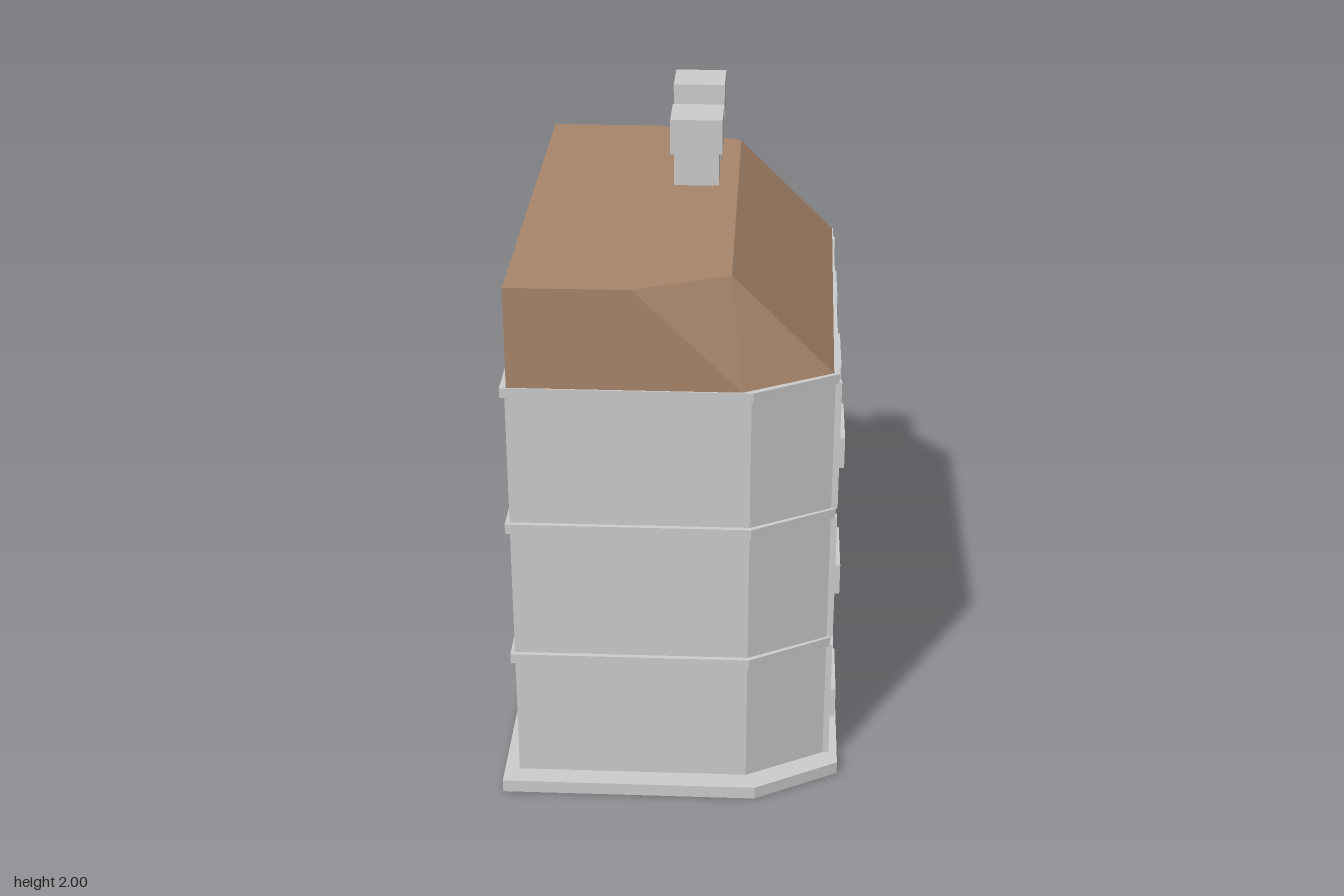
import * as THREE from 'three';
import { ConvexGeometry } from 'three/addons/geometries/ConvexGeometry.js';

export function createModel() {
  const house = new THREE.Group();
  house.name = 'townHouse';
  const stone = new THREE.MeshStandardMaterial({ color: 0xcccccc });
  stone.name = 'stone';
  const brown = new THREE.MeshStandardMaterial({ color: 0xa8856a });
  brown.name = 'brown';

  const add = (name, geometry, material = stone, parent = house) => {
    const mesh = new THREE.Mesh(geometry, material);
    mesh.name = name;
    parent.add(mesh);
    return mesh;
  };
  // Box given by its minimum and maximum corners
  const box = (name, [x0, x1], [y0, y1], [z0, z1], material, parent) => {
    const g = new THREE.BoxGeometry(x1 - x0, y1 - y0, z1 - z0);
    g.translate((x0 + x1) / 2, (y0 + y1) / 2, (z0 + z1) / 2);
    return add(name, g, material, parent);
  };
  const poly = (pts, Type = THREE.Shape) => new Type(pts.map(([x, y]) => new THREE.Vector2(x, y)));
  const rect = (s0, s1, y0, y1, Type) => poly([[s0, y0], [s1, y0], [s1, y1], [s0, y1]], Type);
  // Plan outline raised from y0 to y1
  const rise = (name, pts, y0, y1) => {
    const g = new THREE.ExtrudeGeometry(poly(pts), { depth: y1 - y0, bevelEnabled: false });
    g.rotateX(-Math.PI / 2).translate(0, y0, 0);
    return add(name, g);
  };
  // Upright plate facing +x, from x0 to x1, with optional holes
  const plate = (name, shape, holes, x0, x1, z = 0, parent = house) => {
    shape.holes = holes;
    const g = new THREE.ExtrudeGeometry(shape, { depth: x1 - x0, bevelEnabled: false });
    g.rotateY(Math.PI / 2).translate(x0, 0, z);
    return add(name, g, stone, parent);
  };
  // Plan with two cut corners on the +x side
  const plan = (back, front, cutX, end, cutZ) => [
    [back, -end], [cutX, -end], [front, -cutZ], [front, cutZ], [cutX, end], [back, end],
  ];

  // Plinth and storey ledges, which also close the rooms as floors
  rise('plinth', plan(-0.537, 0.535, 0.27, 0.805, 0.655), 0, 0.042);
  for (const y of [0.455, 0.92, 1.378])
    rise('ledge', plan(-0.503, 0.5, 0.245, 0.752, 0.605), y, y + 0.032);

  // Back and end walls as one hollow band
  rise('outerWalls', [
    [0.49, -0.6], [0.49, -0.585], [0.46, -0.585], [0.23, -0.71], [-0.46, -0.71],
    [-0.46, 0.71], [0.23, 0.71], [0.46, 0.585], [0.49, 0.585], [0.49, 0.6],
    [0.24, 0.737], [-0.49, 0.737], [-0.49, -0.737], [0.24, -0.737],
  ], 0.042, 1.38);

  // Facade with four open windows on the upper floors
  const floors = [
    { bottom: 0.06, head: 0.36, top: 0.41, z: 0.293 },
    { bottom: 0.53, head: 0.815, top: 0.865, z: 0.28 },
    { bottom: 0.99, head: 1.287, top: 1.335, z: 0.28 },
  ];
  const openings = [];
  for (const f of floors.slice(1))
    for (const s of [-1, 1])
      openings.push(rect(s * f.z - 0.09, s * f.z + 0.09, f.bottom + 0.02, f.head, THREE.Path));
  plate('facade', rect(-0.585, 0.585, 0.042, 1.38), openings, 0.46, 0.49);

  // Window surrounds and balconies
  for (const f of floors) {
    for (const s of [-1, 1]) {
      const win = new THREE.Group();
      win.name = 'window';
      house.add(win);
      const z = s * f.z;
      plate('windowFrame', rect(-0.103, 0.103, f.bottom, f.head),
        [rect(-0.09, 0.09, f.bottom + 0.02, f.head - 0.005, THREE.Path)], 0.49, 0.508, z, win);
      box('windowHeader', [0.49, 0.51], [f.head - 0.005, f.top], [z - 0.115, z + 0.115], stone, win);
      const slots = [];
      for (let i = -2; i <= 2; i++)
        slots.push(rect(i * 0.046 - 0.012, i * 0.046 + 0.012, f.bottom + 0.022, f.bottom + 0.08, THREE.Path));
      plate('balcony', rect(-0.126, 0.126, f.bottom, f.bottom + 0.105), slots, 0.505, 0.531, z, win);
      for (const e of [-1, 1])
        box('balconyEnd', [0.49, 0.506], [f.bottom, f.bottom + 0.105],
          [z + e * 0.114 - 0.012, z + e * 0.114 + 0.012], stone, win);
    }
  }

  // Corner pilasters, broken by the ledges
  for (const [y0, y1] of [[0.042, 0.455], [0.487, 0.92], [0.952, 1.378]])
    for (const s of [-1, 1])
      box('cornerPilaster', [0.488, 0.508], [y0, y1], [s * 0.588 - 0.013, s * 0.588 + 0.013]);

  // Door and its step
  box('door', [0.488, 0.496], [0.088, 0.41], [-0.163, 0.163], brown);
  box('doorStep', [0.488, 0.502], [0.042, 0.088], [-0.175, 0.175]);

  // Flat-topped roof sloping to the street
  add('roof', new ConvexGeometry([
    [-0.483, 1.408, -0.748], [0.215, 1.408, -0.748], [0.499, 1.408, -0.6],
    [0.485, 1.408, 0.6], [0.215, 1.408, 0.748], [-0.483, 1.408, 0.748],
    [-0.483, 1.728, -0.748], [-0.11, 1.728, -0.748], [0.175, 1.728, -0.6],
    [0.175, 1.728, 0.623], [-0.11, 1.728, 0.748], [-0.483, 1.728, 0.748],
  ].map((p) => new THREE.Vector3(...p))), brown);

  // Two capped chimneys
  for (const [z, neck, top] of [[-0.212, 1.838, 1.952], [-0.438, 1.886, 2]]) {
    box('chimneyStack', [-0.033, 0.112], [1.72, neck], [z - 0.073, z + 0.073]);
    box('chimneyCap', [-0.045, 0.123], [neck, top], [z - 0.084, z + 0.084]);
  }
  return house;
}
